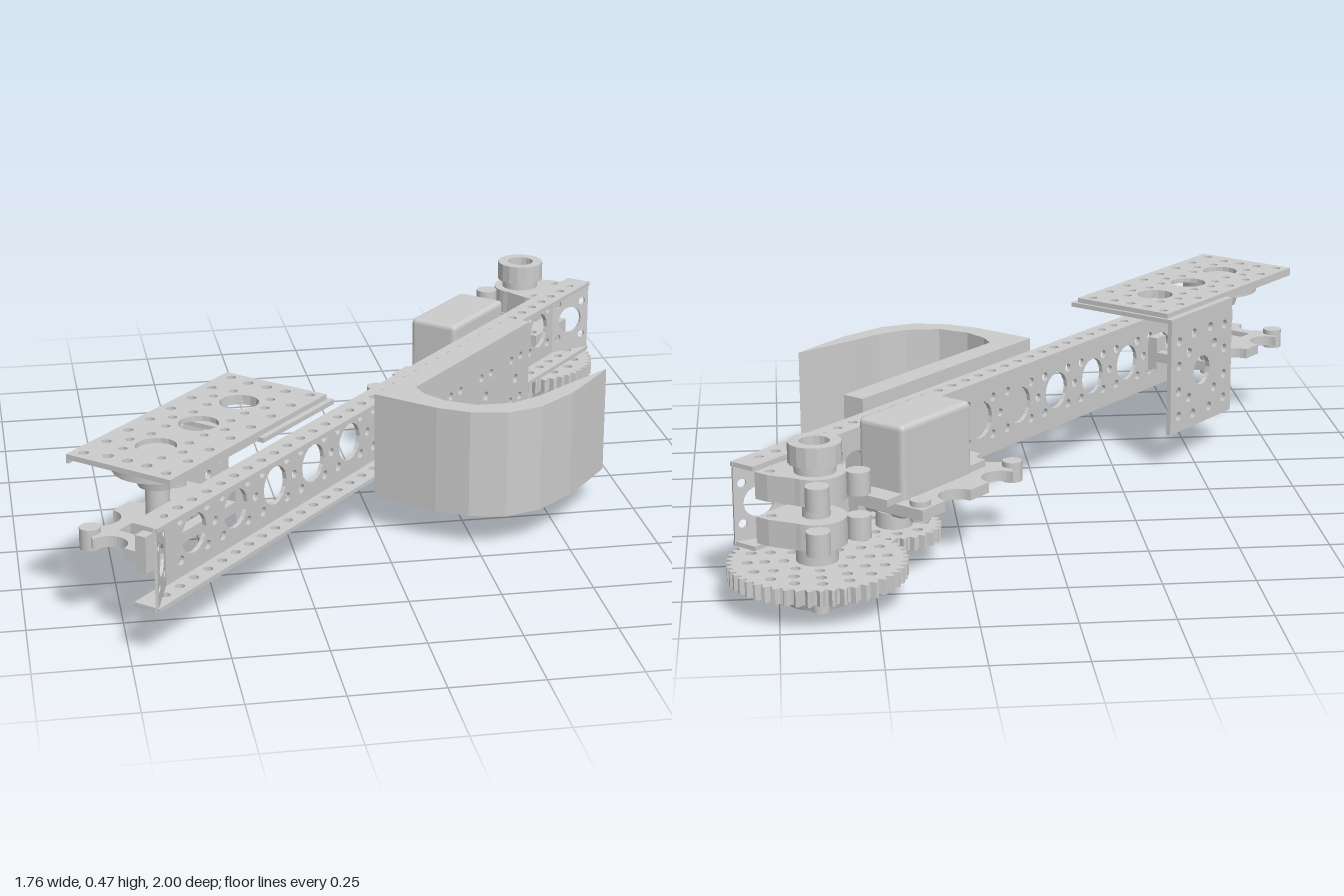
import * as THREE from 'three';
import { RoundedBoxGeometry } from 'three/addons/geometries/RoundedBoxGeometry.js';

const PITCH = 0.185;
const range = (n, f) => Array.from({ length: n }, (_, i) => f(i));

export function createModel() {
  const model = new THREE.Group();
  const arm = new THREE.Group(); // local x runs along the beam, local z points to the hook side
  arm.name = 'arm';
  arm.rotation.y = THREE.MathUtils.degToRad(48);
  model.add(arm);
  const mat = new THREE.MeshStandardMaterial({ color: 0xcccccc, flatShading: true });
  const smooth = new THREE.MeshStandardMaterial({ color: 0xcccccc });

  const add = (name, geo, x = 0, y = 0, z = 0, material = mat) => {
    const m = new THREE.Mesh(geo, material);
    m.name = name;
    m.position.set(x, y, z);
    arm.add(m);
    return m;
  };
  const box = (name, x0, x1, y0, y1, z0, z1) =>
    add(name, new THREE.BoxGeometry(x1 - x0, y1 - y0, z1 - z0), (x0 + x1) / 2, (y0 + y1) / 2, (z0 + z1) / 2);
  const cyl = (name, x, z, y0, y1, rTop, rBottom = rTop, n = 24) =>
    add(name, new THREE.CylinderGeometry(rTop, rBottom, y1 - y0, n), x, (y0 + y1) / 2, z, smooth);
  const poly = (pts) => new THREE.Shape(pts.map(([x, y]) => new THREE.Vector2(x, y)));
  const rect = (x0, x1, y0, y1) => poly([[x0, y0], [x1, y0], [x1, y1], [x0, y1]]);
  const punch = (shape, holes) => {
    for (const [x, y, r] of holes) shape.holes.push(new THREE.Path().absarc(x, y, r, 0, Math.PI * 2, true));
    return shape;
  };
  const extrude = (shape, depth) =>
    new THREE.ExtrudeGeometry(shape, { depth, bevelEnabled: false, curveSegments: 8 });
  // Upright plate drawn in x/y, and flat plate drawn in x/z
  const upright = (name, shape, z0, z1) => add(name, extrude(shape, z1 - z0), 0, 0, z0);
  const flat = (name, shape, y0, y1, x = 0, z = 0) =>
    add(name, extrude(shape, y1 - y0).rotateX(Math.PI / 2), x, y1, z);
  // Four small holes round a centre
  const quad = (x, y, dx, dy, r) => [[x - dx, y - dy, r], [x + dx, y - dy, r], [x - dx, y + dy, r], [x + dx, y + dy, r]];

  // Beam: a U channel open towards the hook, its web splayed forward at both ends
  const X0 = -1.195, X1 = 1.11, Y0 = 0.138, Y1 = 0.365, YM = 0.25, SPLAY = 0.12;
  const webHoles = range(11, (i) => -0.952 + i * PITCH).flatMap((x) =>
    [[x, YM, 0.054], ...quad(x, YM, 0.058, 0.055, 0.013), [x + PITCH / 2, YM, 0.012]]).slice(0, -1);
  upright('beamWeb', punch(rect(X0 + SPLAY, X1 - SPLAY, Y0, Y1), webHoles), 0.087, 0.099);
  const flangeHoles = range(36, (i) => [-1.12 + i * PITCH / 3, 0.128, 0.013]);
  for (const y of [Y0, Y1 - 0.012])
    flat('beamFlange', punch(rect(X0, X1, 0.087, 0.164), flangeHoles), y, y + 0.012);
  const tilt = Math.atan2(0.065, SPLAY), len = Math.hypot(0.065, SPLAY);
  for (const [x, angle] of [[X0, tilt], [X1, Math.PI - tilt]]) {
    const end = punch(rect(0, len, Y0, Y1), [[len / 2, YM, 0.042], ...quad(len / 2, YM, 0.045, 0.055, 0.012)]);
    add('beamEnd', extrude(end, 0.008).translate(0, 0, -0.004), x, 0, 0.158).rotation.y = angle;
  }

  // Hook: drilled mounting plate and a tapering curved claw
  const plateHoles = range(4, (i) => -0.04 + i * 0.178).flatMap((x) =>
    [[x, 0.245, 0.014], ...quad(x, 0.245, 0.028, 0.064, 0.012)]);
  upright('hookPlate', punch(rect(-0.085, 0.575, 0.095, 0.4), plateHoles), 0.17, 0.237);
  flat('hookClaw', poly([[-0.085, 0.17], [-0.194, 0.17], [-0.194, 0.367], [-0.175, 0.462], [-0.123, 0.55],
    [-0.032, 0.605], [0.108, 0.626], [0.206, 0.624], [0.328, 0.617], [0.146, 0.579], [0.034, 0.559],
    [-0.05, 0.525], [-0.116, 0.45], [-0.133, 0.356], [-0.116, 0.282], [-0.085, 0.237]]), 0.095, 0.4);

  // Platform: perforated top plate with an angle bracket behind
  const centres = [-0.97, -0.786, -0.602];
  const deckHoles = centres.flatMap((x) =>
    [[x, 0, 0.054], ...quad(x, 0, 0.06, 0.06, 0.012), [x, 0.083, 0.012], [x, -0.083, 0.012]]);
  for (const z of [-0.125, 0.13]) deckHoles.push(...range(8, (i) => [-1.105 + i * PITCH / 2, z, 0.013]));
  for (const z of [-0.06, 0, 0.06]) deckHoles.push([-1.09, z, 0.014], [-0.47, z, 0.014]);
  flat('platform', punch(rect(-1.136, -0.43, -0.158, 0.165), deckHoles), 0.46, 0.474);
  for (const z of [-0.158, 0.157]) box('platformLip', -1.136, -0.43, 0.45, 0.465, z, z + 0.008);
  const bracketHoles = [[-0.588, 0.27, 0.045], ...quad(-0.588, 0.27, 0.07, 0.07, 0.014),
    ...quad(-0.588, 0.27, 0.125, 0.115, 0.014), ...quad(-0.588, 0.27, 0.125, 0.04, 0.014),
    ...quad(-0.588, 0.27, 0.045, 0.125, 0.014)];
  upright('angleBracket', punch(rect(-0.755, -0.42, 0.105, 0.46), bracketHoles), -0.18, -0.166);
  flat('bracketFlange', punch(rect(-0.755, -0.42, -0.17, 0.182), [[-0.602, 0, 0.054],
    ...quad(-0.602, 0, 0.06, 0.06, 0.012), ...quad(-0.602, 0, 0.12, 0.125, 0.013)]), 0.447, 0.46);

  // Scalloped motor mount with a window, tied to the web by ears
  const motorMount = (name, x0, x1, z0, y, window) => {
    const s = new THREE.Shape(), zn = z0 + 0.12, z1 = 0.087;
    s.moveTo(x0, z0);
    for (const f of [0.28, 0.68]) s.absarc(x0 + (x1 - x0) * f, z0, 0.054, Math.PI, 0, true);
    s.lineTo(x1, z0);
    s.lineTo(x1, z1);
    s.lineTo(x0, z1);
    s.absarc(x0, zn, 0.05, Math.PI / 2, -Math.PI / 2, true);
    s.closePath();
    s.holes.push(rect(...window));
    punch(s, [[x0 + 0.035, z0 + 0.035, 0.014], [x1 - 0.035, z0 + 0.035, 0.014], [x0 + 0.035, 0.05, 0.014]]);
    flat(name, s, y, y + 0.03);
    for (const x of [x0, x1 - 0.05]) box(name + 'Ear', x, x + 0.05, y - 0.025, y + 0.075, 0.055, 0.087);
    for (const x of [x0 + 0.035, x1 - 0.035]) cyl(name + 'Boss', x, z0 + 0.035, y - 0.012, y + 0.045, 0.028, 0.028, 12);
  };

  // Platform drive: open mount, shaft and hub under the platform
  motorMount('rearMount', -1.142, -0.7, -0.15, 0.23, [-1.06, -0.732, -0.06, 0.055]);
  box('rearCrossBar', -1.01, -0.93, 0.22, 0.26, -0.07, 0.06);
  cyl('rearShaft', -0.97, 0, 0.2, 0.42, 0.032);
  cyl('rearHub', -0.97, 0, 0.37, 0.42, 0.062, 0.05);
  cyl('rearHubDisc', -0.97, 0, 0.415, 0.455, 0.115);

  // Motor: body, lid and output shaft over the small gear
  motorMount('frontMount', 0.265, 0.74, -0.165, 0.165, [0.42, 0.705, -0.075, 0.065]);
  add('motorBody', new RoundedBoxGeometry(0.296, 0.26, 0.152, 2, 0.014), 0.563, 0.27, -0.003);
  box('motorFlange', 0.35, 0.775, 0.195, 0.215, -0.075, 0.07);
  box('motorCable', 0.385, 0.42, 0.24, 0.28, -0.03, 0.03);
  cyl('motorShaft', 0.666, -0.008, 0.06, 0.15, 0.05);

  // Gears with toothed rims and rings of holes
  const gear = (name, x, z, y0, y1, r, teeth, holes) => {
    const pts = range(teeth * 4, (i) => {
      const a = (i + 0.5) / (teeth * 4) * Math.PI * 2, q = i % 4 < 2 ? r : r - 0.014;
      return [Math.cos(a) * q, Math.sin(a) * q];
    });
    flat(name, punch(poly(pts), holes), y0, y1, x, z);
  };
  const ring = (n, r, hole, turn = 0) => range(n, (i) => {
    const a = (i + turn) / n * Math.PI * 2;
    return [Math.cos(a) * r, Math.sin(a) * r, hole];
  });
  const GX = 1.003, GZ = -0.029;
  gear('largeGear', GX, GZ, 0.068, 0.11, 0.234, 48, [...ring(16, 0.18, 0.014), ...ring(12, 0.135, 0.014, 0.5), ...ring(8, 0.085, 0.013)]);
  gear('smallGear', 0.666, -0.008, 0.068, 0.105, 0.127, 26, ring(8, 0.08, 0.014));

  // Wheel shaft: lower hub, bearing blocks and top collar
  cyl('lowerHub', GX, GZ, 0.035, 0.07, 0.118);
  cyl('lowerHubNose', GX, GZ, 0, 0.035, 0.098, 0.085);
  for (const [x, z] of ring(4, 0.092, 0, 0.5))
    cyl('hubScrew', GX + x, GZ + z, 0.003, 0.04, 0.024, 0.024, 10);
  cyl('wheelShaft', GX, GZ, 0.05, 0.4, 0.036);
  for (const y of [0.158, 0.278]) {
    const s = new THREE.Shape();
    s.moveTo(GX + 0.1, 0.087);
    s.lineTo(GX - 0.1, 0.087);
    s.lineTo(GX - 0.1, 0.045);
    s.lineTo(GX - 0.08, GZ);
    s.absarc(GX, GZ, 0.08, Math.PI, Math.PI * 2, false);
    s.lineTo(GX + 0.1, 0.045);
    s.closePath();
    flat('bearingBlock', punch(s, [[GX - 0.072, 0.06, 0.013], [GX + 0.072, 0.06, 0.013]]), y, y + 0.072);
    for (const d of [-0.08, 0.08])
      cyl('bearingBoss', GX + d, GZ - 0.075, y + 0.005, y + 0.067, 0.032, 0.032, 12);
  }
  for (const y of [0.11, 0.345]) cyl('shaftCollar', GX, GZ, y, y + 0.045, 0.055);
  const topRing = punch(new THREE.Shape().absarc(0, 0, 0.07, 0, Math.PI * 2, false), [[0, 0, 0.04]]);
  flat('topCollar', topRing, 0.375, 0.43, GX, GZ);
  return model;
}
